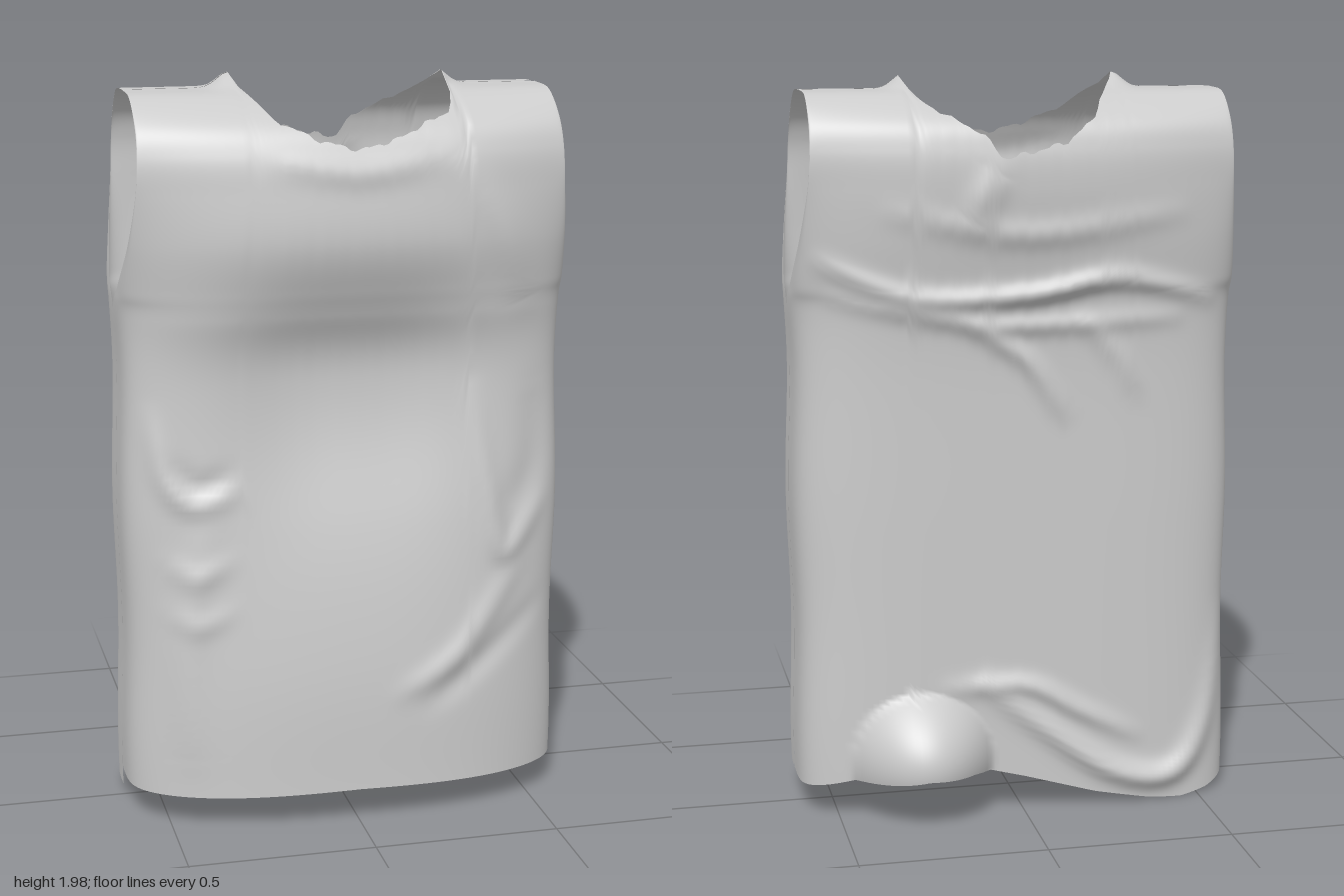
import * as THREE from 'three';

const COLS = 140, ROWS = 195;

// Rows from hem to shoulder seam: [height, side edge depth, corner depth, half width, bulge at the middle]
const FRONT = [
  [0.09, 0.028, 0.25, 0.597, 0.092], [0.4, 0.03, 0.25, 0.597, 0.085], [0.8, 0.04, 0.25, 0.597, 0.045],
  [1.2, 0.03, 0.245, 0.595, 0.022], [1.38, 0.03, 0.25, 0.597, 0.05], [1.45, 0.1, 0.25, 0.592, 0.065],
  [1.57, 0.2, 0.255, 0.575, 0.082], [1.7, 0.25, 0.26, 0.562, 0.068], [1.8, 0.25, 0.255, 0.56, 0.055],
  [1.875, 0.21, 0.22, 0.56, 0.04], [1.935, 0.125, 0.125, 0.56, 0.015], [1.945, 0.008, 0.008, 0.56, 0],
];
const BACK = [
  [0.09, -0.025, 0.21, 0.597, 0.005], [0.4, -0.027, 0.21, 0.597, 0.005], [0.8, -0.037, 0.21, 0.597, 0.005],
  [1.2, -0.027, 0.21, 0.595, 0.005], [1.38, -0.027, 0.213, 0.597, 0.012], [1.45, 0.05, 0.215, 0.592, 0.02],
  [1.57, 0.14, 0.22, 0.575, 0.035], [1.7, 0.205, 0.22, 0.562, 0.05], [1.8, 0.215, 0.22, 0.56, 0.045],
  [1.875, 0.185, 0.195, 0.56, 0.035], [1.935, 0.115, 0.115, 0.56, 0.01], [1.945, -0.002, -0.002, 0.56, 0],
];

// Neckline: [x, row where the cloth ends]
const FRONT_NECK = [[-0.28, 11], [-0.26, 10.2], [-0.22, 9.2], [-0.17, 8.85], [-0.1, 8.4], [0, 8.1], [0.1, 8.4], [0.2, 9], [0.26, 9.3], [0.28, 9.7], [0.295, 11]];
const BACK_NECK = [[-0.28, 11], [-0.23, 10], [-0.17, 8.9], [-0.1, 8.2], [0, 7.9], [0.07, 7.75], [0.12, 8.5], [0.2, 9.1], [0.26, 9.6], [0.28, 10], [0.295, 11]];
// Hem offset: [x, height change]
const FRONT_HEM = [[-0.6, 0], [0, 0.008], [0.6, -0.005]];
const BACK_HEM = [[-0.6, -0.05], [-0.53, -0.077], [-0.45, -0.09], [-0.36, -0.082], [-0.2, -0.05], [0, 0.01], [0.15, 0.05], [0.28, 0.06], [0.45, 0.03], [0.6, -0.005]];

// Creases: [path in x and y, width, height]
const FRONT_FOLDS = [
  [[[-0.54, 1.12], [-0.51, 0.98], [-0.44, 0.9], [-0.32, 0.92]], 0.03, 0.018],
  [[[-0.5, 1.0], [-0.42, 0.94], [-0.34, 0.97]], 0.03, -0.012],
  [[[-0.5, 0.74], [-0.43, 0.7], [-0.34, 0.74]], 0.03, 0.01],
  [[[-0.5, 0.6], [-0.42, 0.57], [-0.34, 0.61]], 0.03, 0.008],
  [[[-0.4, 0.85], [-0.46, 0.5], [-0.45, 0.2]], 0.05, 0.012],
  [[[0.32, 1.15], [0.36, 0.9], [0.41, 0.72], [0.52, 0.84]], 0.032, 0.018],
  [[[0.43, 0.82], [0.5, 0.95], [0.5, 1.15]], 0.05, -0.012],
  [[[0.12, 0.36], [0.28, 0.46], [0.45, 0.68]], 0.035, 0.014],
  [[[0.2, 0.32], [0.35, 0.43], [0.52, 0.56]], 0.035, -0.01],
  [[[-0.2, 1.78], [0, 1.75], [0.2, 1.78]], 0.035, 0.008],
  [[[0.26, 1.8], [0.38, 1.6], [0.45, 1.4]], 0.05, 0.012],
];
const BACK_FOLDS = [
  [[[0.55, 1.52], [0.3, 1.42], [0, 1.42], [-0.25, 1.46], [-0.5, 1.4]], 0.03, 0.025],
  [[[0.5, 1.42], [0.2, 1.36], [0, 1.34], [-0.4, 1.35]], 0.028, 0.016],
  [[[0.15, 1.34], [0, 1.25], [-0.1, 1.1]], 0.028, 0.018],
  [[[-0.15, 1.35], [-0.25, 1.25], [-0.3, 1.15]], 0.028, 0.012],
  [[[0.35, 1.64], [0, 1.58], [-0.4, 1.63]], 0.035, 0.012],
  [[[0.08, 1.74], [0.15, 1.62]], 0.04, 0.015],
  [[[0.1, 0.36], [-0.05, 0.24], [-0.25, 0.1], [-0.42, 0.08], [-0.52, 0.22], [-0.58, 0.5]], 0.035, 0.028],
  [[[0.2, 0.36], [0, 0.36], [-0.15, 0.28], [-0.3, 0.2]], 0.028, 0.018],
];

function lerpTable(table, x) {
  if (x <= table[0][0]) return table[0][1];
  for (let i = 1; i < table.length; i++) {
    const [x0, y0] = table[i - 1], [x1, y1] = table[i];
    if (x <= x1) return y0 + (y1 - y0) * (x - x0) / (x1 - x0);
  }
  return table[table.length - 1][1];
}

// Sum of rounded ridges along smooth paths
function makeFolds(list) {
  const folds = list.map(([path, width, height]) => ({
    pts: new THREE.SplineCurve(path.map(p => new THREE.Vector2(...p))).getPoints(80), width, height,
  }));
  return (x, y) => folds.reduce((sum, { pts, width, height }) => {
    let best = Infinity, at = 0;
    pts.forEach((p, i) => {
      const d2 = (p.x - x) ** 2 + (p.y - y) ** 2;
      if (d2 < best) { best = d2; at = i; }
    });
    const taper = 0.25 + 0.75 * Math.sin(Math.PI * at / (pts.length - 1));
    return sum + height * taper * Math.exp(-best / (width * width));
  }, 0);
}

// One half of the garment; side is 1 for the front and -1 for the back
function makePanel(name, side, rows, neck, hem, foldList, swell) {
  const spline = pick => new THREE.CatmullRomCurve3(
    rows.map(r => new THREE.Vector3(...pick(r))), false, 'catmullrom', 0.5);
  const depthCurve = spline(r => [r[0], r[1], r[2]]);
  const widthCurve = spline(r => [r[3], r[4], 0]);
  const folds = makeFolds(foldList);
  const last = rows.length - 1;
  const pos = [], index = [];

  for (let c = 0; c <= COLS; c++) {
    // Rounded-box cross-section, from the left side edge to the right one
    const a = Math.PI * c / COLS;
    const r = 1 / Math.pow(Math.abs(Math.cos(a)) ** 4.5 + Math.sin(a) ** 4.5, 1 / 4.5);
    const ux = r * Math.cos(a), uz = c === 0 || c === COLS ? 0 : Math.min(1, r * Math.sin(a));
    const x0 = 0.56 * ux;
    let end = lerpTable(neck, x0);
    if (end < last) end = Math.min(last, end + 0.05 * Math.sin(x0 * 75) + 0.04 * Math.sin(x0 * 140 + side));

    for (let j = 0; j <= ROWS; j++) {
      const t = Math.pow(j / ROWS, 1.45) * end / last;
      const d = depthCurve.getPoint(t), w = widthCurve.getPoint(t);
      const y0 = d.x;
      const x = ux * (w.x + 0.004 * Math.sin(y0 * 9));
      const fade = Math.max(0, 1 - (y0 - 0.09) / 0.5);
      const bulge = w.y * Math.max(0, 1 - Math.abs(ux) ** 2.4) * uz;
      const flat = THREE.MathUtils.smoothstep(uz, 0.5, 0.95) * (1 - THREE.MathUtils.smoothstep(y0, 1.8, 1.92));
      // Shoulder seam peaks beside the neck
      const rise = 0.04 * Math.exp(-(((Math.abs(x) - 0.28) / 0.04) ** 2)) *
        THREE.MathUtils.smoothstep(y0, 1.9, 1.93) * Math.exp(-((d.z / 0.06) ** 2));
      const y = y0 + lerpTable(hem, x) * fade * fade + rise;
      const z = d.y + (d.z - d.y) * uz + bulge + flat * (folds(x, y) + swell(x, y));
      pos.push(x, y, side * z);
    }
  }
  for (let c = 0; c < COLS; c++) for (let j = 0; j < ROWS; j++) {
    const p = c * (ROWS + 1) + j, q = p + ROWS + 1;
    if (side > 0) index.push(p, p + 1, q, q, p + 1, q + 1);
    else index.push(p, q, p + 1, q, q + 1, p + 1);
  }
  const geo = new THREE.BufferGeometry();
  geo.setAttribute('position', new THREE.Float32BufferAttribute(pos, 3));
  geo.setIndex(index);
  geo.computeVertexNormals();
  const mesh = new THREE.Mesh(geo, new THREE.MeshStandardMaterial({ color: 0xcccccc, side: THREE.DoubleSide }));
  mesh.name = name;
  return mesh;
}

export function createModel() {
  const group = new THREE.Group();
  group.name = 'sleevelessShirt';
  // The belly is hollow below the chest, under an arched edge
  const hollow = (x, y) => {
    const v = y - 1.2;
    return -0.058 * Math.exp(-((Math.abs(x) / 0.3) ** 3) - (Math.abs(v) / (v > 0 ? 0.24 : 0.36)) ** 2.5);
  };
  // Puffed cloth over the rear hem
  const puff = (x, y) => {
    const h = Math.max(0, 1 - ((x - 0.28) / 0.19) ** 2 - ((y - 0.17) / 0.18) ** 2);
    return 0.135 * h;
  };
  group.add(makePanel('frontPanel', 1, FRONT, FRONT_NECK, FRONT_HEM, FRONT_FOLDS, hollow));
  group.add(makePanel('backPanel', -1, BACK, BACK_NECK, BACK_HEM, BACK_FOLDS, puff));
  return group;
}
